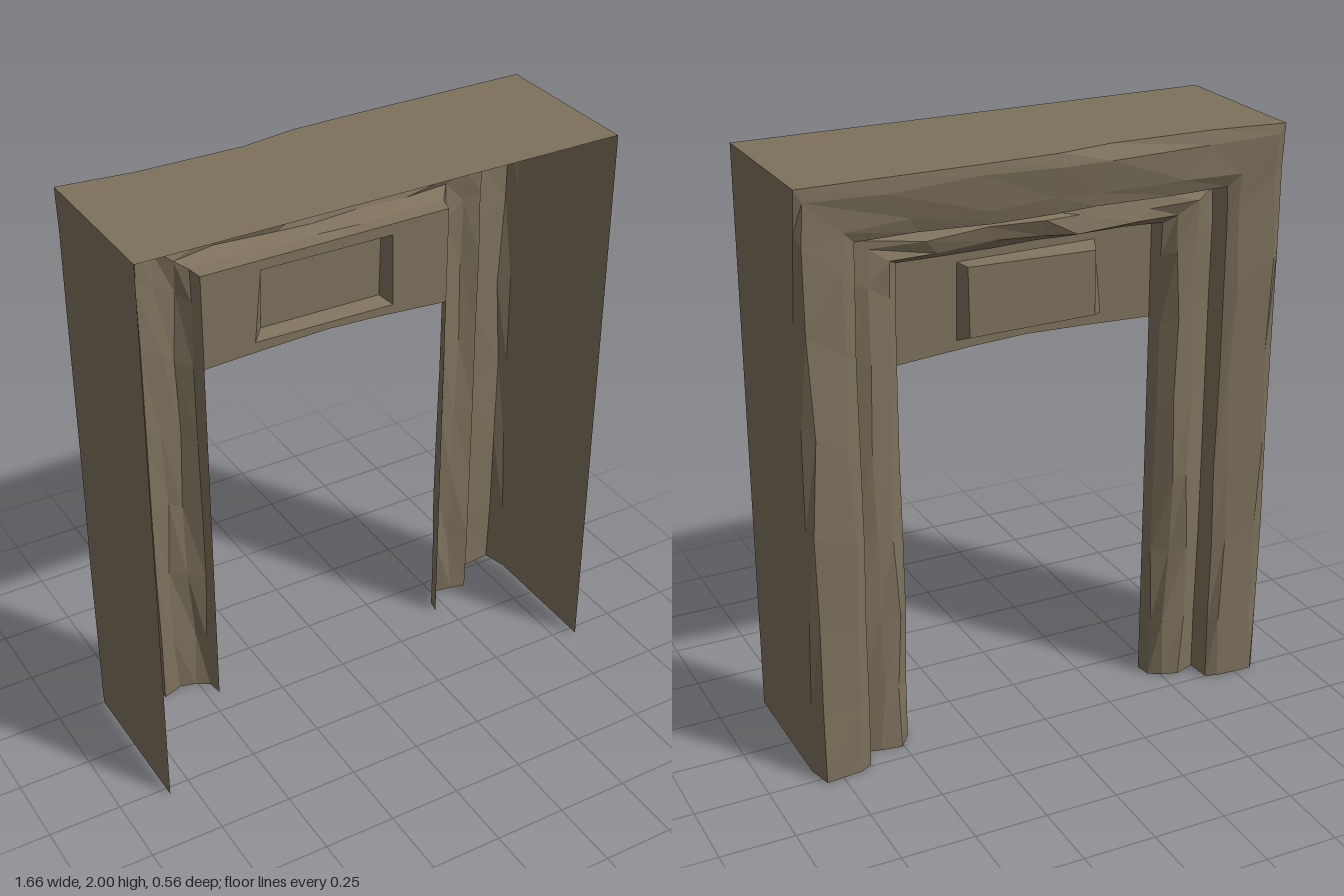
import * as THREE from 'three';

const stone = new THREE.MeshStandardMaterial({
  color: 0x7d715c, flatShading: true, roughness: 1, side: THREE.DoubleSide,
});

// Small seeded generator for the hewn irregularity, -1..1
let seed = 11;
const rough = () => {
  seed = (seed * 16807) % 2147483647;
  return (seed / 2147483647) * 2 - 1;
};

// Skin a surface over rows of points
function skin(name, rows) {
  const pos = [];
  for (let r = 0; r + 1 < rows.length; r++) {
    for (let c = 0; c + 1 < rows[r].length; c++) {
      const a = rows[r][c], b = rows[r + 1][c], d = rows[r][c + 1], e = rows[r + 1][c + 1];
      pos.push(...a, ...b, ...d, ...b, ...e, ...d);
    }
  }
  const geo = new THREE.BufferGeometry();
  geo.setAttribute('position', new THREE.Float32BufferAttribute(pos, 3));
  geo.computeVertexNormals();
  const mesh = new THREE.Mesh(geo, stone);
  mesh.name = name;
  return mesh;
}

// Moulding profile from outer wall to opening: half width, height, depth, roughness
const profile = [
  [0.83, 2.0, 0.28, 0],
  [0.83, 2.0, -0.25, 0],
  [0.805, 1.96, -0.268, 0.01],
  [0.68, 1.85, -0.262, 0.01],
  [0.64, 1.805, -0.245, 0.005],
  [0.635, 1.79, -0.165, 0.005],
  [0.57, 1.76, -0.185, 0.012],
  [0.505, 1.71, -0.18, 0.012],
  [0.465, 1.685, -0.14, 0.006],
  [0.455, 1.68, -0.09, 0],
];

// Worn depth of the outer back edge along the left jamb, right jamb and lintel
const leftEdge = [-0.19, -0.215, -0.235, -0.242, -0.245, -0.225, -0.255];
const rightEdge = [-0.25, -0.255, -0.262, -0.258, -0.262, -0.265, -0.265];
const lintelEdge = [-0.275, -0.245, -0.24, -0.27, -0.275, -0.275, -0.275];
const legStops = [0, 0.13, 0.29, 0.45, 0.62, 0.79, 0.93];
const lintelStops = [-1, -0.7, -0.26, -0.03, 0.3, 0.68, 1];

// One cross-section of the frame, mitred naturally at the corners
function section(kind, t, edge) {
  return profile.map(([w, h, d, amount], j) => {
    const wob = rough() * amount, deep = rough() * amount;
    const z = j === 1 ? edge : j === 2 ? Math.min(edge - 0.01, d) + deep : d + deep;
    const zz = Math.max(z, -0.28);
    if (kind === 'lintel') return [t * w, h + wob, zz];
    return [kind * (w + wob), t * h, zz];
  });
}

export function createModel() {
  seed = 11;
  const group = new THREE.Group();
  group.name = 'stoneDoorway';

  // Sections run up the right jamb, over the lintel and down the left jamb
  const rows = [
    ...legStops.map((t, i) => section(-1, t, rightEdge[i])),
    ...lintelStops.map((t, i) => section('lintel', t, lintelEdge[i])),
    ...legStops.map((t, i) => section(1, t, leftEdge[i])).reverse(),
  ];
  group.add(skin('outerWallsAndTop', rows.map((r) => r.slice(0, 2))));
  group.add(skin('outerFrame', rows.map((r) => r.slice(1, 6))));
  group.add(skin('innerFrame', rows.map((r) => r.slice(5))));

  // Panel over the opening, with a shallow arched lower edge
  const rim = [[-0.27, 1.39], [-0.245, 1.645], [0.24, 1.64], [0.245, 1.38]];
  const face = [[-0.225, 1.405], [-0.225, 1.625], [0.225, 1.635], [0.22, 1.4]];
  const toVectors = (list) => list.map(([x, y]) => new THREE.Vector2(x, y));
  const shape = new THREE.Shape(toVectors([
    [-0.455, 1.345], [-0.2, 1.355], [0, 1.36], [0.2, 1.35], [0.455, 1.33], [0.455, 1.68], [-0.455, 1.68],
  ]));
  shape.holes.push(new THREE.Path(toVectors(rim)));
  const panel = new THREE.Mesh(new THREE.ShapeGeometry(shape), stone);
  panel.name = 'lintelPanel';
  panel.position.z = -0.09;
  group.add(panel);

  // Hollow bevelled block standing out from the back of the panel
  const closed = [0, 1, 2, 3, 0];
  group.add(skin('blockBevel', closed.map((i) => [[...rim[i], -0.09], [...face[i], -0.14]])));
  const p = face.map((q) => [...q, -0.14]);
  group.add(skin('blockFace', [[p[0], p[3]], [p[1], p[2]]]));

  return group;
}
